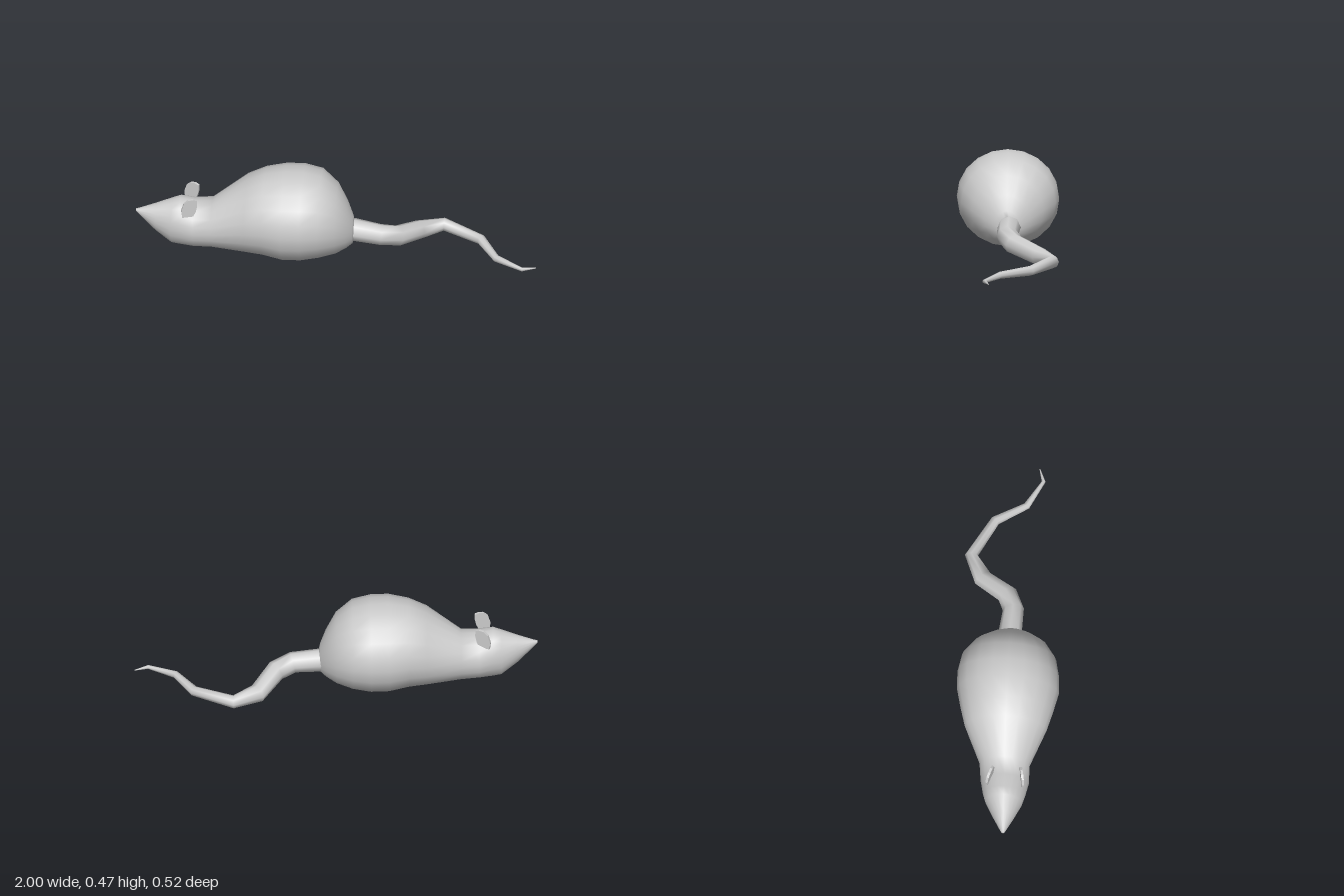
import * as THREE from 'three';

const material = new THREE.MeshStandardMaterial({ color: 0xcccccc, side: THREE.DoubleSide });

// Skin closed rings (arrays of Vector3) into one smooth surface with closed ends.
function loft(rings, name) {
  const n = rings[0].length, pos = [], index = [];
  rings.forEach(ring => ring.forEach(p => pos.push(p.x, p.y, p.z)));
  for (let r = 0; r < rings.length - 1; r++) {
    for (let i = 0; i < n; i++) {
      const a = r * n + i, b = r * n + (i + 1) % n;
      index.push(a, b, a + n, b, b + n, a + n);
    }
  }
  const last = (rings.length - 1) * n;
  for (let i = 1; i < n - 1; i++) {
    index.push(0, i + 1, i, last, last + i, last + i + 1);
  }
  const geometry = new THREE.BufferGeometry();
  geometry.setAttribute('position', new THREE.Float32BufferAttribute(pos, 3));
  geometry.setIndex(index);
  geometry.computeVertexNormals();
  const mesh = new THREE.Mesh(geometry, material);
  mesh.name = name;
  return mesh;
}

// Elliptical ring around a centre, spanned by two axes (u then v turns about the path).
function ring(center, u, v, ru, rv, sides) {
  return Array.from({ length: sides }, (_, i) => {
    const a = i / sides * Math.PI * 2;
    return center.clone().addScaledVector(u, Math.cos(a) * ru).addScaledVector(v, Math.sin(a) * rv);
  });
}

function createBody() {
  // x, bottom, top, z min, z max
  const sections = [
    [-1.0, 0.214, 0.226, 0.017, 0.031],
    [-0.98, 0.192, 0.231, 0.006, 0.04],
    [-0.9, 0.108, 0.258, -0.035, 0.075],
    [-0.82, 0.045, 0.287, -0.076, 0.11],
    [-0.78, 0.041, 0.3, -0.09, 0.122],
    [-0.71, 0.038, 0.284, -0.105, 0.136],
    [-0.62, 0.035, 0.288, -0.116, 0.133],
    [-0.45, 0.03, 0.417, -0.2, 0.207],
    [-0.36, 0.024, 0.458, -0.227, 0.233],
    [-0.26, 0.004, 0.477, -0.251, 0.256],
    [-0.17, 0.004, 0.477, -0.254, 0.252],
    [-0.08, 0.02, 0.457, -0.237, 0.232],
    [0.0, 0.038, 0.392, -0.178, 0.18],
    [0.05, 0.06, 0.302, -0.112, 0.118],
    [0.08, 0.08, 0.228, -0.06, 0.066],
    [0.086, 0.1, 0.2, -0.04, 0.045],
  ];
  const up = new THREE.Vector3(0, 1, 0), side = new THREE.Vector3(0, 0, 1);
  return loft(sections.map(([x, y0, y1, z0, z1]) => ring(
    new THREE.Vector3(x, (y0 + y1) / 2, (z0 + z1) / 2),
    up, side, (y1 - y0) / 2, (z1 - z0) / 2, 20)), 'body');
}

function createTail() {
  // x, y, z, radius
  const path = [
    [0.03, 0.145, -0.008, 0.058],
    [0.085, 0.145, -0.008, 0.058],
    [0.215, 0.128, 0.0, 0.053],
    [0.3, 0.103, -0.035, 0.052],
    [0.395, 0.058, -0.163, 0.047],
    [0.515, 0.053, -0.227, 0.033],
    [0.708, 0.045, -0.12, 0.025],
    [0.797, 0.039, 0.03, 0.018],
    [0.932, 0.033, 0.106, 0.01],
    [1.0, 0.03, 0.083, 0.002],
  ];
  const points = path.map(p => new THREE.Vector3(p[0], p[1], p[2]));
  return loft(points.map((p, i) => {
    const before = points[Math.max(i - 1, 0)], after = points[Math.min(i + 1, points.length - 1)];
    const inDir = p.clone().sub(before).normalize(), outDir = after.clone().sub(p).normalize();
    const tangent = inDir.add(outDir).normalize();
    const side = tangent.clone().cross(new THREE.Vector3(0, 1, 0)).normalize();
    const up = side.clone().cross(tangent);
    return ring(p, up, side, path[i][3], path[i][3], 8);
  }), 'tail');
}

// Thin rounded ear leaning backwards, placed by its centre and turned about y.
function createEar(name, z, turn) {
  const outline = [
    [-0.035, -0.05], [0.02, -0.046], [0.032, -0.02], [0.04, 0.015],
    [0.038, 0.045], [0.02, 0.052], [-0.005, 0.049], [-0.027, 0.03], [-0.04, -0.012],
  ].map(([x, y]) => new THREE.Vector2(x, y));
  const geometry = new THREE.ExtrudeGeometry(new THREE.Shape(outline), { depth: 0.012, bevelEnabled: false });
  geometry.translate(0, 0, -0.006);
  const ear = new THREE.Mesh(geometry, material);
  ear.name = name;
  ear.position.set(-0.728, 0.296, z);
  ear.rotation.y = turn;
  return ear;
}

export function createModel() {
  const model = new THREE.Group();
  model.name = 'mouse';
  model.add(
    createBody(),
    createTail(),
    createEar('frontEar', 0.102, 0.2),
    createEar('backEar', -0.058, -0.38),
  );
  return model;
}
